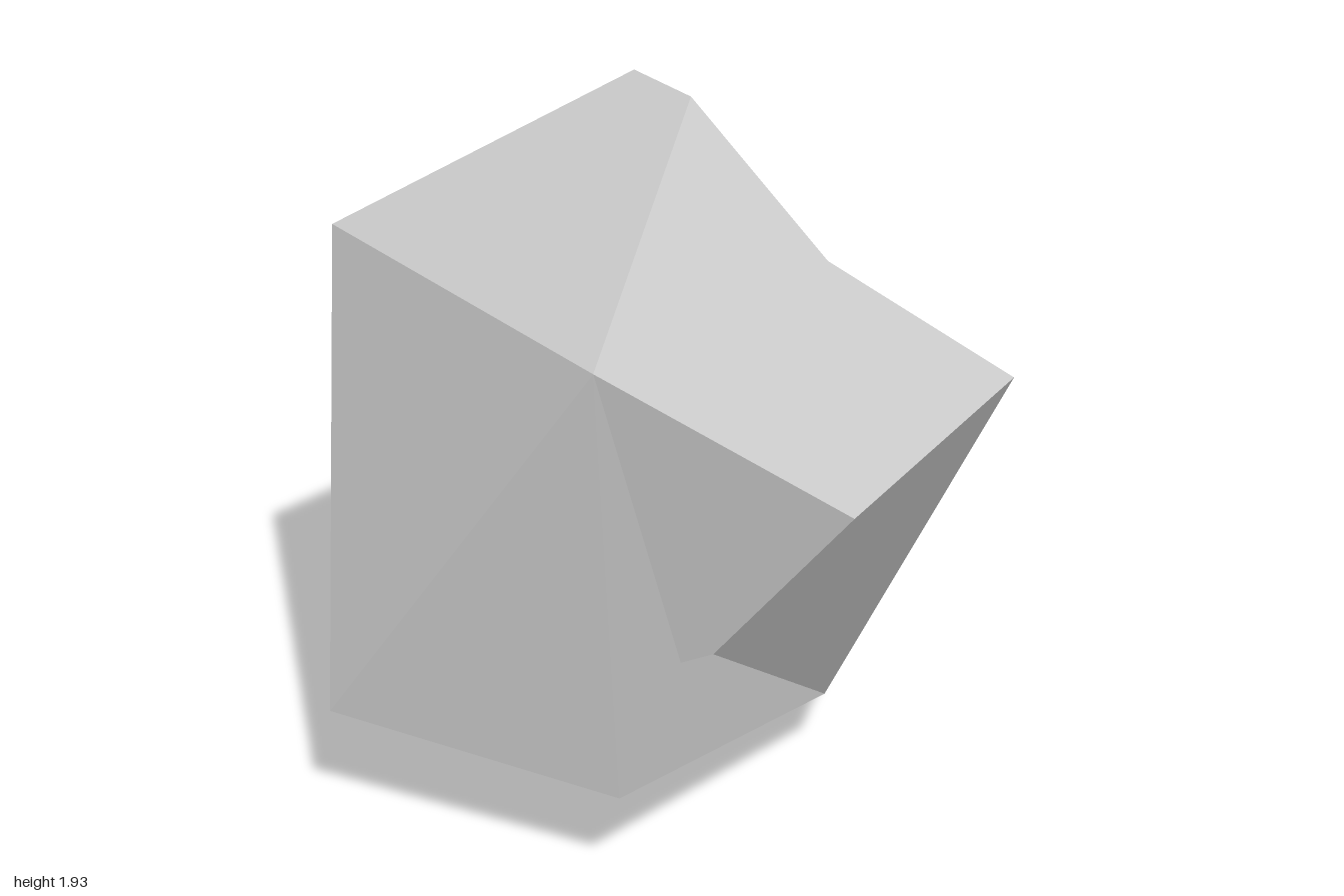
import * as THREE from 'three';

// Corners of the boulder
const corners = {
  // crown
  H: [-0.08, 1.93, 0.15], I: [0.125, 1.92, 0.19], W: [0.02, 1.65, -0.13],
  V: [-0.43, 1.63, -0.07], T: [-0.37, 1.4, -0.29], U: [-0.22, 1.39, -0.33],
  // shoulders
  A: [-0.7, 1.51, 0.6], B: [0.355, 1.51, 0.87], J: [0.83, 1.12, 0.49],
  K: [0.86, 1.24, -0.16], N: [0.27, 1.38, -0.2], S: [-0.67, 1.46, 0.08],
  // waist
  L: [0.43, 0.65, 0.64], M: [0.47, 0.65, 0.56], P: [0.26, 0.85, -0.55],
  O: [-0.08, 0.85, -1], Q: [-0.54, 1, -0.62], R: [-0.73, 1.03, -0.02],
  // foot
  C: [-0.42, 0.37, 1], D: [-0.86, 0.32, 0.31], F: [0.36, 0.31, 0.8],
  G: [0.41, 0.22, -0.02], X: [-0.342, 0.23, -0.32], E: [-0.21, 0, 0.43],
};

// Facets, counter-clockwise from outside; each is a fan from its first corner
const facets = [
  'HABI', 'INWH', 'VHWUT', 'VSAH',          // crown
  'JKNIB', 'BAC', 'BCF', 'LBFGM', 'BLMJ',   // front and +x side
  'JMGK', 'GPNK', 'UWNPO', 'PGXO',          // +x side and back
  'QTUOX', 'QRSVT', 'XDRQ', 'DCASR',        // back and -x side
  'CDE', 'FCE', 'GFE', 'XGE', 'DXE',        // underside
];

function boulderGeometry() {
  const positions = [], normals = [];
  for (const facet of facets) {
    const points = [...facet].map((name) => new THREE.Vector3(...corners[name]));
    // one area-weighted normal keeps each facet evenly shaded
    const normal = new THREE.Vector3();
    points.forEach((p, i) => {
      normal.add(p.clone().cross(points[(i + 1) % points.length]));
    });
    normal.normalize();
    for (let i = 1; i < points.length - 1; i++) {
      for (const p of [points[0], points[i], points[i + 1]]) {
        positions.push(p.x, p.y, p.z);
        normals.push(normal.x, normal.y, normal.z);
      }
    }
  }
  const geometry = new THREE.BufferGeometry();
  geometry.setAttribute('position', new THREE.Float32BufferAttribute(positions, 3));
  geometry.setAttribute('normal', new THREE.Float32BufferAttribute(normals, 3));
  return geometry;
}

export function createModel() {
  const group = new THREE.Group();
  const boulder = new THREE.Mesh(
    boulderGeometry(),
    new THREE.MeshStandardMaterial({ color: 0xcccccc }),
  );
  boulder.name = 'boulder';
  group.add(boulder);
  return group;
}
